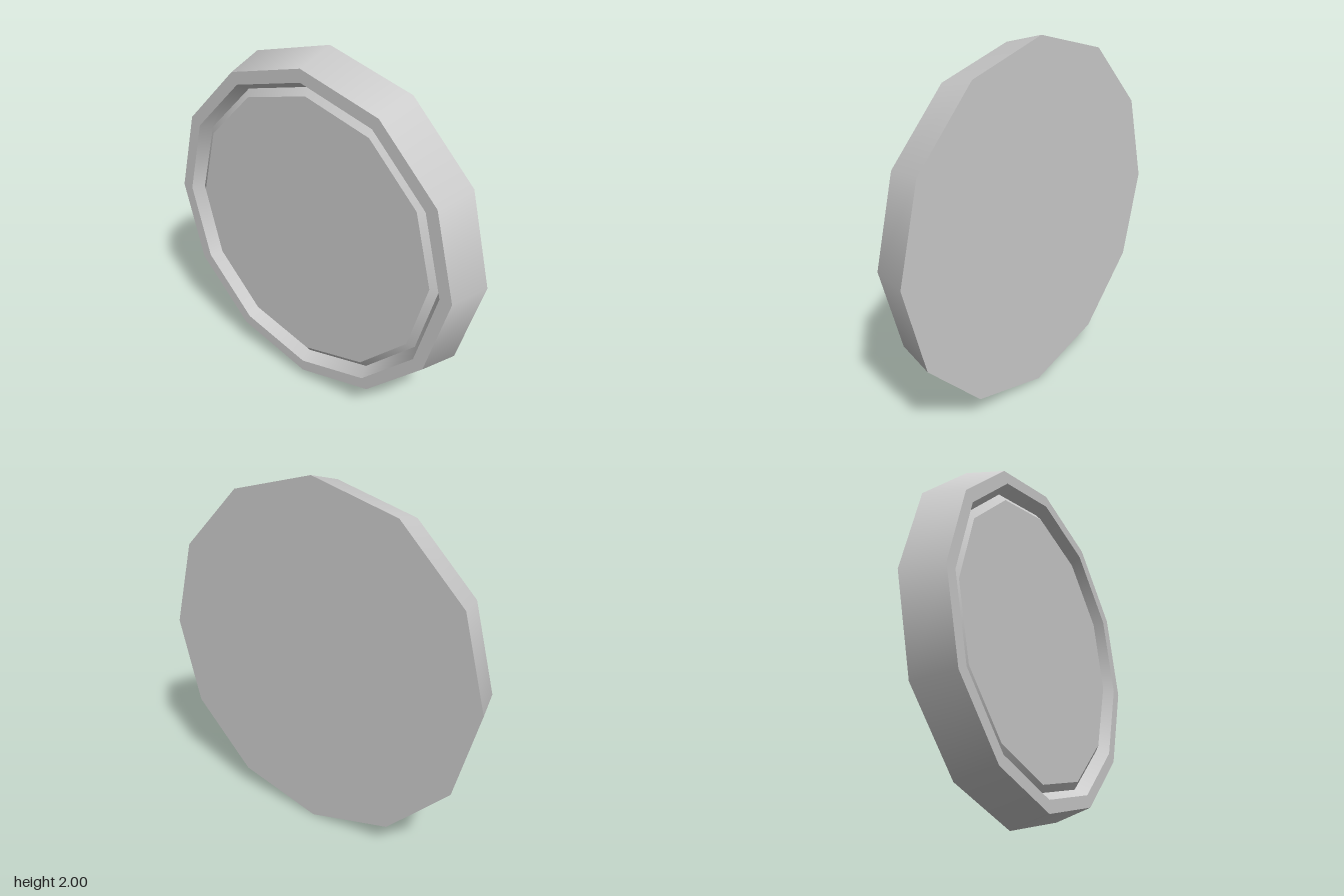
import * as THREE from 'three';

// Twelve-sided tapered disc lying across the x axis, with a V groove in its -x face
export function createModel() {
  const model = new THREE.Group();
  const material = new THREE.MeshStandardMaterial({ color: 0xcccccc });

  // Profile as [radius, x], from the centre of the -x face round to the centre of the +x face
  const profile = [
    [0, -0.077], [0.79, -0.077], [0.83, -0.047], [0.87, -0.113],
    [0.94, -0.113], [1, 0.113], [0, 0.113],
  ].map(([r, x]) => new THREE.Vector2(r, x));
  const names = ['innerPanel', 'grooveInnerWall', 'grooveOuterWall', 'rim', 'outerEdge', 'flatFace'];

  // One band per profile segment: smooth around the axis, sharp between bands
  names.forEach((name, i) => {
    const band = new THREE.LatheGeometry([profile[i], profile[i + 1]], 12);
    band.rotateZ(-Math.PI / 2).translate(0, 1, 0);
    const mesh = new THREE.Mesh(band, material);
    mesh.name = name;
    model.add(mesh);
  });

  return model;
}
